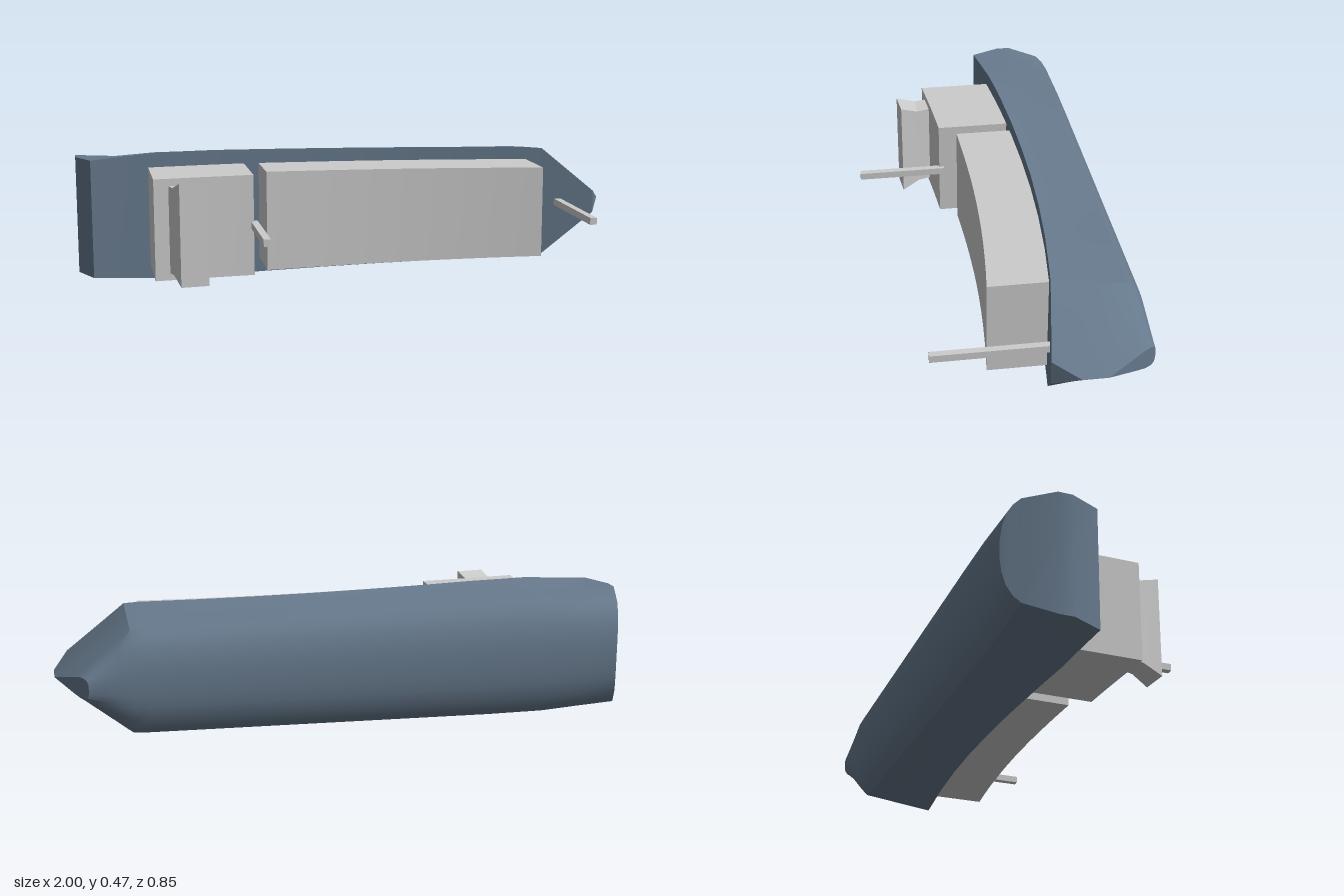
import * as THREE from 'three';
import { toCreasedNormals } from 'three/addons/utils/BufferGeometryUtils.js';

const CY = 0.24; // height of the ship's centre line; the ship lies on its side, deck to +z
const lerp = THREE.MathUtils.lerp;
const deckZ = (x) => -0.155 + (x > 0 ? 0.09 : 0.0665) * x * x;

// Piecewise linear half beam along the length
const BEAM = [[-1, 0.215], [-0.95, 0.216], [-0.7, 0.235], [-0.5, 0.235], [0.7, 0.213], [0.75, 0.209], [1.1, 0.209]];
function beam(x) {
  const i = Math.max(1, BEAM.findIndex((p) => p[0] >= x));
  const [a, b] = [BEAM[i - 1], BEAM[i]];
  return lerp(a[1], b[1], (x - a[0]) / (b[0] - a[0]));
}

// Skins mirrored sections; each section lists [x, half width, z] from deck side to keel side
function loft(sections, crease) {
  const m = sections[0].length, n = m * 2, pos = [], idx = [];
  for (const s of sections) {
    for (const [x, h, z] of s) pos.push(x, CY + h, z);
    for (const [x, h, z] of [...s].reverse()) pos.push(x, CY - h, z);
  }
  const quad = (a, b, c, d) => idx.push(a, b, c, a, c, d);
  for (let s = 0; s < sections.length - 1; s++) {
    for (let i = 0; i < n; i++) {
      const j = (i + 1) % n, a = s * n, b = a + n;
      quad(a + i, b + i, b + j, a + j);
    }
  }
  const e = (sections.length - 1) * n;
  for (let j = 0; j < m - 1; j++) {
    quad(j, j + 1, n - 2 - j, n - 1 - j);
    quad(e + j, e + n - 1 - j, e + n - 2 - j, e + j + 1);
  }
  const g = new THREE.BufferGeometry();
  g.setAttribute('position', new THREE.Float32BufferAttribute(pos, 3));
  g.setIndex(idx);
  return toCreasedNormals(g, crease);
}

// Hull levels: [z (null = deck), width scale, stern x, bow x, half width at the bow end]
const LEVELS = [
  [null, 1, -0.95, 0.95, 0.042],
  [-0.2, 0.945, -1, 1, 0],
  [-0.25, 0.915, -1, 1, 0],
  [-0.36, 0.85, -0.97, 0.937, 0.03],
  [-0.385, 0.74, -0.962, 0.922, 0.036],
  [-0.405, 0.58, -0.957, 0.91, 0.036],
  [-0.418, 0.36, -0.952, 0.9, 0.03],
  [-0.423, 0.15, -0.95, 0.895, 0.015],
];

function hullGeometry() {
  const sections = [];
  // stern end
  sections.push(LEVELS.map(([z, k, xs]) => [xs, (xs < -0.99 ? 0.215 : beam(xs) * k), z ?? deckZ(xs)]));
  // body
  for (const x of [-0.85, -0.7, -0.6, -0.5, -0.3, -0.1, 0.1, 0.3, 0.5, 0.7, 0.75]) {
    sections.push(LEVELS.map(([z, k]) => [x, beam(x) * k, z ?? deckZ(x)]));
  }
  // bow, narrowing to the stem
  for (let i = 1; i <= 4; i++) {
    const t = i / 4;
    sections.push(LEVELS.map(([z, k, , xb, end]) => {
      const x = lerp(0.75, xb, t);
      // the stem is raked back between deck edge and its foremost point
      const zz = z === -0.2 ? lerp(-0.2, -0.165, t) : z ?? deckZ(x);
      return [x, lerp(beam(0.75) * k, end, t), zz];
    }));
  }
  return loft(sections, 0.5);
}

// Block standing on the curved deck and following its sheer
function deckBlock(x0, x1, height, h0, h1, steps) {
  const sections = [];
  for (let i = 0; i <= steps; i++) {
    const t = i / steps, x = lerp(x0, x1, t), h = lerp(h0, h1, t);
    sections.push([[x, h, deckZ(x) + height], [x, h, deckZ(x) - 0.01]]);
  }
  return loft(sections, 0.4);
}

export function createModel() {
  const group = new THREE.Group();
  const grey = new THREE.MeshStandardMaterial({ color: 0xcccccc });
  const blue = new THREE.MeshStandardMaterial({ color: 0x66798c });
  const add = (name, geometry, material = grey) => {
    const mesh = new THREE.Mesh(geometry, material);
    mesh.name = name;
    group.add(mesh);
    return mesh;
  };

  add('hull', hullGeometry(), blue);
  add('cargoBlock', deckBlock(-0.335, 0.69, 0.204, 0.18, 0.167, 12));
  add('deckHouse', deckBlock(-0.743, -0.39, 0.263, 0.181, 0.181, 5));

  // Raked bridge with wings flaring out at the top
  const side = (top, mid, low, zTop) => [[top, 0.182, zTop], [mid, 0.155, 0.18], [low, 0.155, 0.125]];
  add('bridge', loft([side(-0.663, -0.68, -0.695, 0.254), side(-0.565, -0.59, -0.608, 0.245)], 0.3));

  // Masts
  for (const [name, x, z0, z1] of [['aftMast', -0.387, 0.1, 0.425], ['foreMast', 0.814, -0.11, 0.296]]) {
    add(name, new THREE.BoxGeometry(0.025, 0.025, z1 - z0)).position.set(x, CY, (z0 + z1) / 2);
  }
  return group;
}
